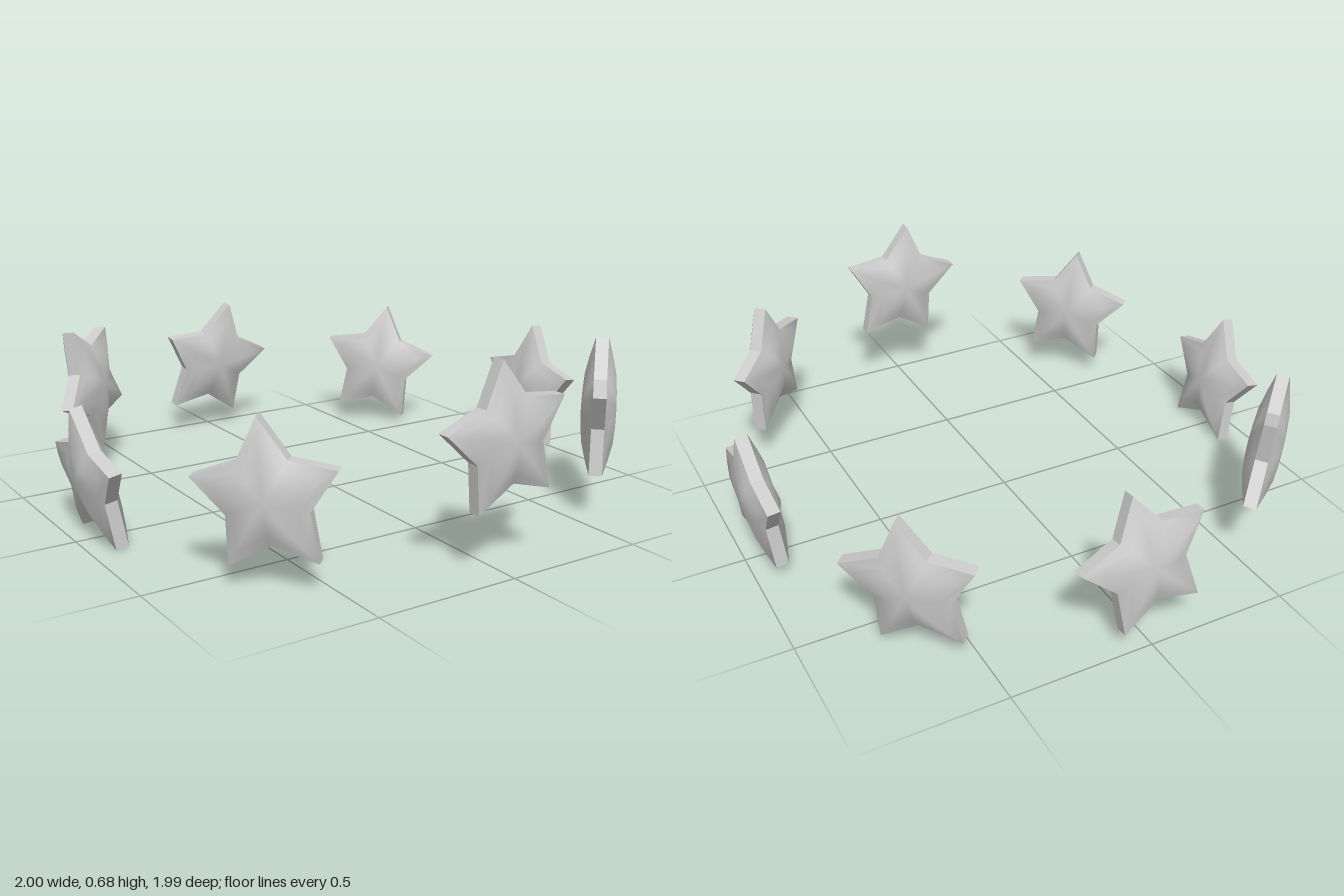
import * as THREE from 'three';
import { mergeGeometries } from 'three/addons/utils/BufferGeometryUtils.js';

const RX = 0.237, RY = 0.251, NOTCH = 0.57, RIM = 0.022;

// Point on the five-pointed outline; even indices are tips, odd ones notches
function outline(i, scale) {
  const a = Math.PI / 2 + (i * Math.PI) / 5;
  const r = scale * (i % 2 ? NOTCH : 1);
  return [RX * r * Math.cos(a), RY * r * Math.sin(a)];
}

function makeGeometry(positions, index) {
  const g = new THREE.BufferGeometry();
  g.setAttribute('position', new THREE.Float32BufferAttribute(positions, 3));
  g.setIndex(index);
  return g;
}

// Puffy star face: a centre point and rings [scale, depth] out to the rim
function faceGeometry() {
  const rings = [[0.25, 0.058], [0.5, 0.053], [0.75, 0.039], [1, RIM]];
  const pos = [0, 0, 0.06], index = [];
  rings.forEach(([s, z], k) => {
    for (let i = 0; i < 10; i++) {
      const j = (i + 1) % 10;
      pos.push(...outline(i, s), z);
      const a = 1 + k * 10 + i, b = 1 + k * 10 + j;
      if (k === 0) index.push(0, a, b);
      else index.push(a - 10, a, b, a - 10, b, b - 10);
    }
  });
  const g = makeGeometry(pos, index);
  g.computeVertexNormals();
  return g.toNonIndexed();
}

// Narrow hard-edged band around the outline
function rimGeometry() {
  const pos = [], index = [];
  for (let i = 0; i < 10; i++) {
    const p = outline(i, 1), q = outline(i + 1, 1), n = i * 4;
    pos.push(...p, RIM, ...p, -RIM, ...q, -RIM, ...q, RIM);
    index.push(n, n + 1, n + 2, n, n + 2, n + 3);
  }
  const g = makeGeometry(pos, index);
  g.computeVertexNormals();
  return g.toNonIndexed();
}

function starGeometry() {
  const front = faceGeometry();
  const back = front.clone().rotateY(Math.PI);
  return mergeGeometries([front, back, rimGeometry()]);
}

export function createModel() {
  const model = new THREE.Group();
  model.name = 'starRing';
  const material = new THREE.MeshStandardMaterial({ color: 0xcccccc });
  const geometry = starGeometry();
  const rad = THREE.MathUtils.degToRad;

  // Name, height, in-plane roll and outward lean (degrees), 45 degrees apart from the front
  const stars = [
    ['frontStar', 0.44, 8, 0],
    ['frontLeftStar', 0.36, -5, 0],
    ['leftStar', 0.255, 0, 6.5],
    ['backLeftStar', 0.255, 8, 3],
    ['backStar', 0.3, 12, -8],
    ['backRightStar', 0.355, -30, 6],
    ['rightStar', 0.217, 0, 10],
    ['frontRightStar', 0.3, 6, 0],
  ];
  stars.forEach(([name, y, roll, lean], i) => {
    const yaw = (i * Math.PI) / 4;
    const star = new THREE.Mesh(geometry, material);
    star.name = name;
    star.position.set(0.932 * Math.sin(yaw), y, 0.932 * Math.cos(yaw));
    star.rotation.set(rad(lean), yaw, rad(roll), 'YXZ');
    model.add(star);
  });
  return model;
}
